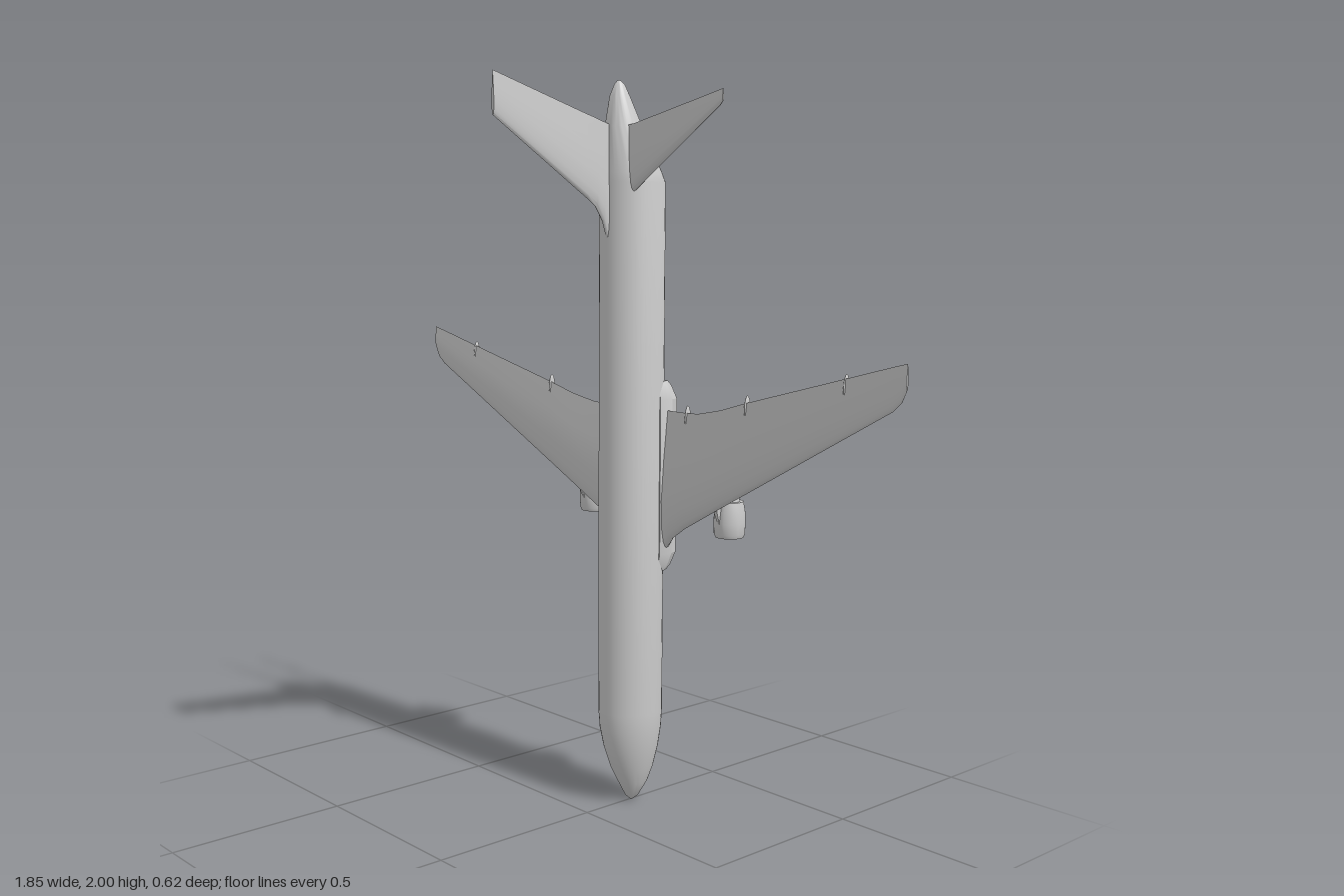
import * as THREE from 'three';
import { toCreasedNormals } from 'three/addons/utils/BufferGeometryUtils.js';

const material = new THREE.MeshStandardMaterial({ color: 0xcccccc });

function add(parent, name, geometry) {
  const mesh = new THREE.Mesh(geometry, material);
  mesh.name = name;
  parent.add(mesh);
  return mesh;
}

// Closed skin through equal-length rings of [x, y, z], capped at both ends.
function skin(rings, crease = 0.6) {
  const n = rings[0].length, pts = rings.flat(), index = [];
  for (let r = 0; r < rings.length - 1; r++) {
    for (let i = 0; i < n; i++) {
      const a = r * n + i, b = r * n + (i + 1) % n;
      index.push(a, b, b + n, a, b + n, a + n);
    }
  }
  const last = (rings.length - 1) * n;
  for (let i = 1; i < n - 1; i++) {
    index.push(0, i + 1, i, last, last + i, last + i + 1);
  }
  // Turn all faces outward if the enclosed volume comes out negative
  let volume = 0;
  const v = pts.map(p => new THREE.Vector3(...p));
  for (let i = 0; i < index.length; i += 3) {
    volume += v[index[i]].dot(v[index[i + 1]].clone().cross(v[index[i + 2]]));
  }
  if (volume < 0) index.reverse();
  const geometry = new THREE.BufferGeometry();
  geometry.setAttribute('position', new THREE.Float32BufferAttribute(pts.flat(), 3));
  geometry.setIndex(index);
  return toCreasedNormals(geometry, crease);
}

// Airfoil outline: [share of chord, share of half thickness]
const upper = [[0.01, 0.3], [0.05, 0.62], [0.15, 0.92], [0.35, 1], [0.65, 0.62]];
const airfoil = [[0, 0], ...upper, [1, 0], ...upper.map(([c, h]) => [c, -h]).reverse()];

// Lifting surface from stations [span, leading y, trailing y, thickness]
function foil(stations, place) {
  return skin(stations.map(([s, le, te, t]) =>
    airfoil.map(([c, h]) => place(s, le + (te - le) * c, h * t / 2))), 0.8);
}

export function createModel() {
  const plane = new THREE.Group();
  plane.name = 'airliner';

  // Fuselage stations: y, half width, belly z, back z
  const stations = [
    [0, 0.004, -0.173, -0.164], [0.012, 0.018, -0.188, -0.15], [0.055, 0.04, -0.216, -0.128],
    [0.1, 0.057, -0.232, -0.105], [0.16, 0.073, -0.245, -0.085], [0.22, 0.084, -0.252, -0.073],
    [0.27, 0.0875, -0.254, -0.07], [1.735, 0.0875, -0.254, -0.07], [1.76, 0.082, -0.243, -0.07],
    [1.88, 0.047, -0.183, -0.076], [1.96, 0.027, -0.142, -0.088], [1.99, 0.014, -0.128, -0.1],
    [2, 0.004, -0.116, -0.108],
  ];
  add(plane, 'fuselage', skin(stations.map(([y, rx, belly, back]) =>
    Array.from({ length: 40 }, (_, i) => {
      const a = i / 40 * Math.PI * 2;
      return [rx * Math.cos(a), y, (belly + back) / 2 + (back - belly) / 2 * Math.sin(a)];
    }))));

  // Flat belly fairing with bevelled edges and tapered ends
  const fairing = [[-0.087, -0.19], [-0.087, -0.235], [-0.076, -0.262],
    [0.076, -0.262], [0.087, -0.235], [0.087, -0.19]];
  const ends = [[0.67, 0.82, 0.68], [0.685, 0.9, 0.82], [0.72, 1, 1],
    [1.15, 1, 1], [1.185, 0.9, 0.82], [1.2, 0.82, 0.68]];
  add(plane, 'bellyFairing', skin(ends.map(([y, sx, sz]) =>
    fairing.map(([x, z]) => [x * sx, y, -0.19 + (z + 0.19) * sz])), 0.3));

  // Tail fin with a curved fillet at its foot
  add(plane, 'tailFin', foil([
    [-0.12, 1.56, 1.87, 0.02], [-0.072, 1.58, 1.887, 0.02], [-0.055, 1.63, 1.892, 0.02],
    [-0.03, 1.668, 1.9, 0.019], [0, 1.69, 1.908, 0.018], [0.31, 1.89, 2, 0.01],
  ], (s, y, h) => [h, y, s]));

  const wingZ = x => -0.217 + Math.max(0, x - 0.085) * 0.058;
  const wing = [
    [0.03, 0.715, 1.12, 0.046], [0.085, 0.735, 1.12, 0.045], [0.11, 0.767, 1.12, 0.042],
    [0.165, 0.804, 1.12, 0.038], [0.21, 0.828, 1.122, 0.035], [0.3, 0.877, 1.14, 0.03],
    [0.386, 0.923, 1.165, 0.026], [0.64, 1.059, 1.231, 0.017], [0.885, 1.19, 1.295, 0.009],
    [0.91, 1.212, 1.301, 0.008], [0.925, 1.243, 1.305, 0.006],
  ];
  const stabilizer = [[0.02, 1.68, 1.88, 0.022], [0.07, 1.71, 1.886, 0.02], [0.405, 1.91, 1.948, 0.007],
    [0.415, 1.92, 1.95, 0.005]];

  // Engine: spinner, intake, lip, cowl, then exhaust cone
  const engine = new THREE.LatheGeometry([
    [0, 0.808], [0.012, 0.832], [0.031, 0.832], [0.034, 0.797], [0.038, 0.79], [0.042, 0.8],
    [0.043, 0.83], [0.042, 0.86], [0.037, 0.888], [0.027, 0.888], [0.014, 0.965], [0, 0.965],
  ].map(p => new THREE.Vector2(...p)), 32);
  const engineSmooth = toCreasedNormals(engine, 0.6);

  // Pylon outline in (z, y), tapered to thin edges across the span
  const pylonRings = [[0.82, -0.245, -0.23, 0.002], [0.86, -0.262, -0.215, 0.006],
    [0.95, -0.262, -0.205, 0.007], [1.0, -0.24, -0.205, 0.005], [1.06, -0.215, -0.205, 0.001]];

  for (const side of [1, -1]) {
    const half = new THREE.Group();
    half.name = side > 0 ? 'leftSide' : 'rightSide';
    plane.add(half);
    add(half, 'wing', foil(wing, (s, y, h) => [side * s, y, wingZ(s) + h]));
    add(half, 'stabilizer', foil(stabilizer,
      (s, y, h) => [side * s, y, -0.108 + (s - 0.05) * 0.08 + h]));
    add(half, 'engine', engineSmooth).position.set(side * 0.275, 0, -0.269);
    add(half, 'enginePylon', skin(pylonRings.map(([y, low, high, w]) => [
      [side * 0.275 - w, y, low], [side * 0.275 + w, y, low],
      [side * 0.275 + w, y, high], [side * 0.275 - w, y, high]])));

    // Slim flap track fairings under the trailing edge
    for (const [x, y] of [[0.163, 1.103], [0.393, 1.15], [0.733, 1.23]]) {
      const track = add(half, 'flapTrackFairing', new THREE.SphereGeometry(1, 12, 8));
      track.scale.set(0.005, 0.037, 0.011);
      track.position.set(side * x, y, wingZ(x) - 0.006);
    }
  }
  return plane;
}
